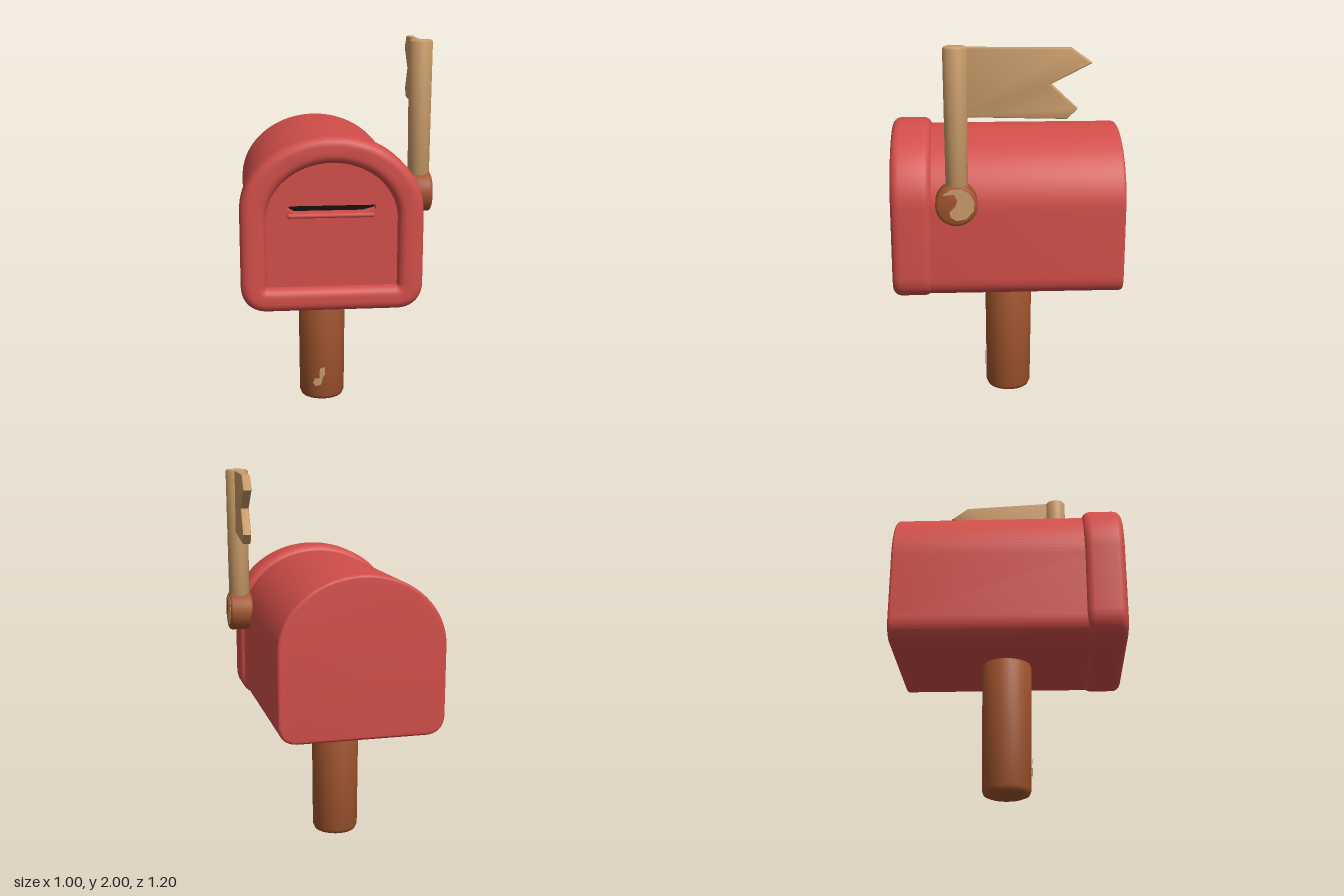
import * as THREE from 'three';
import { toCreasedNormals } from 'three/addons/utils/BufferGeometryUtils.js';

const CX = -0.046; // centre line of the box

// Arched outline: rounded bottom corners, straight sides, half-ellipse top
function arch(PathType, hw, y0, y1, spring, r) {
  const p = new PathType();
  p.moveTo(CX - hw + r, y0);
  p.lineTo(CX + hw - r, y0);
  p.quadraticCurveTo(CX + hw, y0, CX + hw, y0 + r);
  p.lineTo(CX + hw, spring);
  p.absellipse(CX, spring, hw, y1 - spring, 0, Math.PI, false, 0);
  p.lineTo(CX - hw, y0 + r);
  p.quadraticCurveTo(CX - hw, y0, CX - hw + r, y0);
  return p;
}

function polygon(PathType, points) {
  return new PathType(points.map(([x, y]) => new THREE.Vector2(x, y)));
}

// Extrude from z0 to z1, bevels included, with soft edges
function extrude(shape, z0, z1, bevel, segments = 4) {
  const g = new THREE.ExtrudeGeometry(shape, {
    depth: z1 - z0 - 2 * bevel, curveSegments: 28, bevelEnabled: bevel > 0,
    bevelThickness: bevel, bevelSize: bevel, bevelSegments: segments,
  });
  g.translate(0, 0, z0 + bevel);
  return toCreasedNormals(g, 0.6);
}

// Round bar standing on y = 0 with rounded rims
function bar(rBottom, rTop, h, b) {
  const pts = [[0, 0], [rBottom - b, 0], [rBottom - b * 0.3, b * 0.3], [rBottom, b],
    [rTop, h - b], [rTop - b * 0.3, h - b * 0.3], [rTop - b, h], [0, h]];
  const g = new THREE.LatheGeometry(pts.map(([x, y]) => new THREE.Vector2(x, y)), 32);
  return toCreasedNormals(g, 0.9);
}

export function createModel() {
  const model = new THREE.Group();
  model.name = 'mailbox';
  const mat = (name, color) => {
    const m = new THREE.MeshStandardMaterial({ color });
    m.name = name;
    return m;
  };
  const red = mat('red paint', 0xd14e49);
  const tan = mat('tan wood', 0xc89a68);
  const brown = mat('brown wood', 0xa0542d);
  const dark = mat('dark opening', 0x120909);

  const add = (name, geometry, material, x = 0, y = 0, z = 0) => {
    const m = new THREE.Mesh(geometry, material);
    m.name = name;
    m.position.set(x, y, z);
    model.add(m);
    return m;
  };

  // Box body
  const b = 0.015;
  add('body', extrude(arch(THREE.Shape, 0.43 - b, 0.7 + b, 1.53 - b, 1.16, 0.09), -0.6, 0.47, b), red);

  // Thick rounded frame round the door
  const f = 0.045;
  const frame = arch(THREE.Shape, 0.452 - f, 0.69 + f, 1.56 - f, 1.18, 0.09);
  frame.holes.push(arch(THREE.Path, 0.325 + f, 0.81 - f, 1.43 + f, 1.15, 0.06));
  add('doorFrame', extrude(frame, 0.39, 0.6, f, 6), red);

  // Recessed door with a letter slot
  const door = arch(THREE.Shape, 0.36, 0.78, 1.46, 1.15, 0.03);
  door.holes.push(polygon(THREE.Path, [[-0.27, 1.205], [-0.23, 1.18], [0.11, 1.18],
    [0.17, 1.195], [0.17, 1.218], [-0.25, 1.218]]));
  add('door', extrude(door, 0.48, 0.55, 0), red);
  add('slotOpening', new THREE.BoxGeometry(0.48, 0.08, 0.008), dark, -0.05, 1.2, 0.482);
  add('slotLip', new THREE.CapsuleGeometry(0.012, 0.41, 4, 10), red, -0.05, 1.168, 0.549)
    .rotation.z = Math.PI / 2;

  // Post, with a worn patch curved round its front
  add('post', bar(0.125, 0.13, 0.72, 0.03), brown, -0.05, 0, -0.02);
  const patch = new THREE.ShapeGeometry(polygon(THREE.Shape, [[-0.05, 0.11], [-0.035, 0.09],
    [-0.005, 0.1], [0.005, 0.14], [0.018, 0.16], [0.015, 0.2], [-0.008, 0.2],
    [-0.015, 0.17], [-0.012, 0.14], [-0.04, 0.135]]));
  const pos = patch.attributes.position;
  for (let i = 0; i < pos.count; i++) {
    const a = pos.getX(i) / 0.13;
    pos.setXYZ(i, 0.133 * Math.sin(a), pos.getY(i), 0.133 * Math.cos(a));
  }
  patch.computeVertexNormals();
  add('postPatch', patch, tan, -0.06, 0, -0.02);

  // Flag pivot on the left side, with a tan patch on its outer face
  add('pivot', bar(0.105, 0.105, 0.125, 0.015), brown, 0.365, 1.225, 0.265)
    .rotation.z = -Math.PI / 2;
  const face = polygon(THREE.Shape, [[-0.035, -0.03], [-0.03, -0.055], [0.0, -0.075],
    [0.05, -0.065], [0.085, -0.025], [0.09, 0.02], [0.065, 0.065], [0.02, 0.088],
    [-0.03, 0.085], [-0.07, 0.055], [-0.01, 0.06], [0.005, 0.03], [-0.005, 0]]);
  add('pivotPatch', extrude(face, 0, 0.004, 0), tan, 0.488, 1.225, 0.265)
    .rotation.y = Math.PI / 2;

  // Flag arm rising from the pivot
  add('flagArm', bar(0.055, 0.06, 0.72, 0.012), tan, 0.43, 1.28, 0.262);

  // Swallow-tailed flag, swung slightly outwards
  const e = 0.008;
  const flag = polygon(THREE.Shape, [[0, 1.66 + e], [0.528, 1.655 + e], [0.578 - e, 1.705],
    [0.45 - e, 1.825], [0.645 - e, 1.925], [0.545, 1.995 - e], [0, 1.995 - e]]);
  add('flag', extrude(flag, -0.021, 0.021, e, 2), tan, 0.425, 0, 0.255)
    .rotation.y = Math.PI / 2 - 0.085;

  return model;
}
